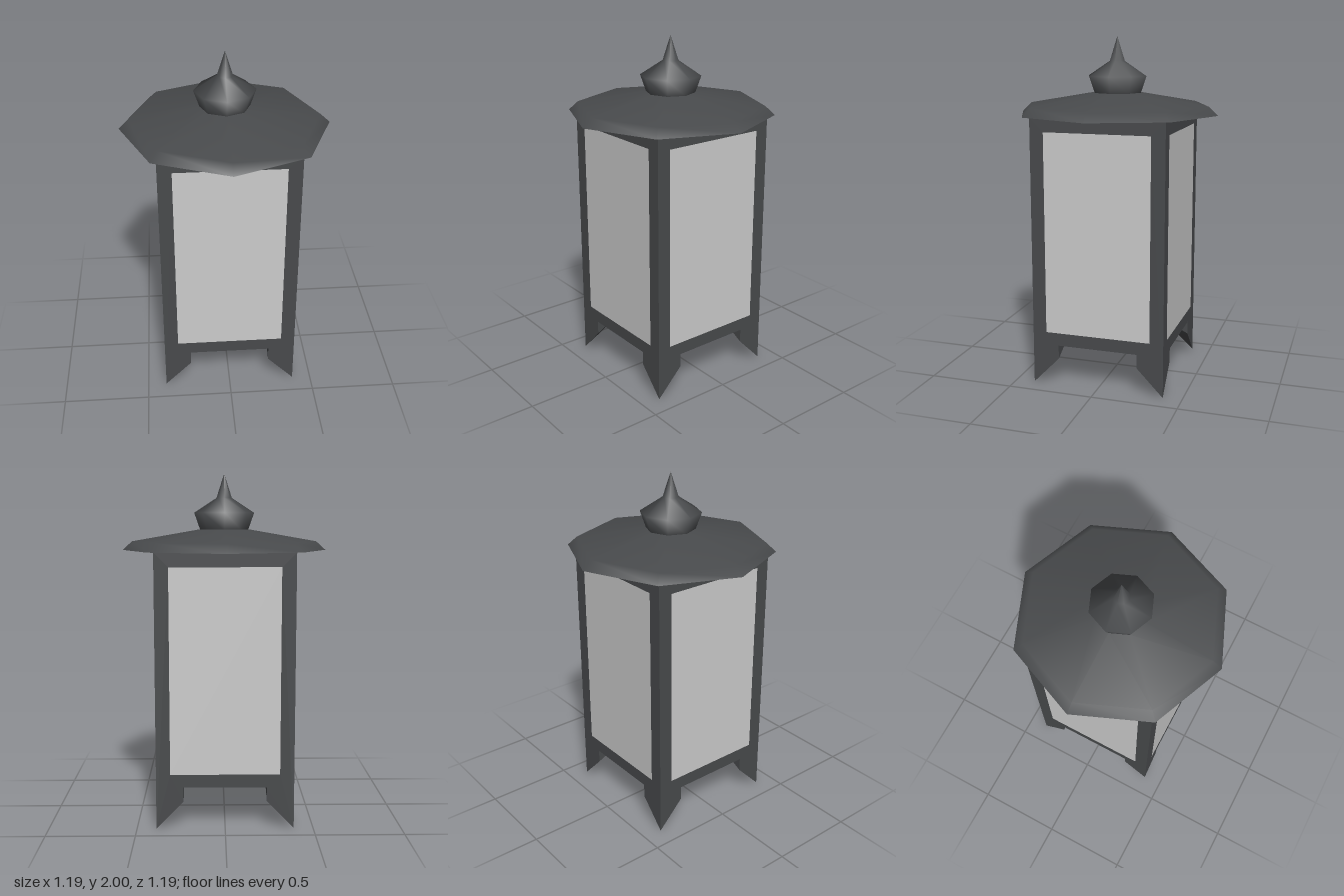
import * as THREE from 'three';

const W = 0.39;        // half width of the body
const EAVE = 1.56;     // top of the body
const FLOOR = 0.24;    // underside of the body
const LEG = 0.235;     // inner edge of the feet
const KNEE = 0.16;     // height where the feet start to taper

const v2 = (list) => list.map(([x, y]) => new THREE.Vector2(x, y));

function add(parent, name, geometry, material) {
  const mesh = new THREE.Mesh(geometry, material);
  mesh.name = name;
  parent.add(mesh);
  return mesh;
}

// One side of the frame, with its window opening and the outer faces of the feet
function sideFrameGeometry() {
  const shape = new THREE.Shape(v2([
    [-W, 0], [-LEG, KNEE], [-LEG, FLOOR], [LEG, FLOOR], [LEG, KNEE],
    [W, 0], [W, EAVE], [-W, EAVE],
  ]));
  shape.holes.push(new THREE.Path(v2([
    [-0.31, 0.315], [-0.31, 1.48], [0.31, 1.48], [0.31, 0.315],
  ])));
  return new THREE.ShapeGeometry(shape).translate(0, 0, W);
}

// Faceted inner faces of one foot, tapering to the corner
function footGeometry() {
  const inner = [LEG, FLOOR, LEG], ridge = [0.31, 0.12, 0.31], tip = [W, 0, W];
  const top = [LEG, FLOOR, W], knee = [LEG, KNEE, W];
  const half = [[inner, knee, top], [inner, ridge, knee], [knee, ridge, tip]];
  const swap = ([x, y, z]) => [z, y, x];
  const faces = [...half, ...half.map(([a, b, c]) => [swap(a), swap(c), swap(b)])];
  const geometry = new THREE.BufferGeometry();
  geometry.setAttribute('position', new THREE.Float32BufferAttribute(faces.flat(2), 3));
  geometry.computeVertexNormals();
  return geometry;
}

export function createModel() {
  const lantern = new THREE.Group();
  lantern.name = 'lantern';
  const metal = new THREE.MeshStandardMaterial({ color: 0x484a4c });
  const sheet = new THREE.MeshStandardMaterial({ color: 0x484a4c, side: THREE.DoubleSide });
  const glass = new THREE.MeshStandardMaterial({ color: 0xcccccc, side: THREE.DoubleSide });

  // Four identical sides, each with a window pane and a foot
  const frame = sideFrameGeometry();
  const pane = new THREE.PlaneGeometry(0.62, 1.165).translate(0, 0.8975, W);
  const foot = footGeometry();
  for (let i = 0; i < 4; i++) {
    const side = new THREE.Group();
    side.name = 'side' + (i + 1);
    side.rotation.y = i * Math.PI / 2;
    add(side, 'sideFrame', frame, sheet);
    add(side, 'windowPane', pane, glass);
    add(side, 'foot', foot, sheet);
    lantern.add(side);
  }

  // Floor
  add(lantern, 'floor', new THREE.PlaneGeometry(2 * W, 2 * W)
    .rotateX(Math.PI / 2).translate(0, FLOOR, 0), sheet);

  // Eight-sided roof with a bevelled rim, and its flat underside
  add(lantern, 'roof', new THREE.LatheGeometry(
    v2([[0.595, EAVE], [0.54, 1.61], [0.14, 1.68]]), 8), metal);
  add(lantern, 'roofUnderside', new THREE.CircleGeometry(0.595, 8)
    .rotateX(Math.PI / 2).translate(0, EAVE, 0), metal);

  // Finial
  add(lantern, 'finial', new THREE.LatheGeometry(
    v2([[0.14, 1.675], [0.175, 1.775], [0.045, 1.86], [0, 2]]), 8), metal);

  return lantern;
}
